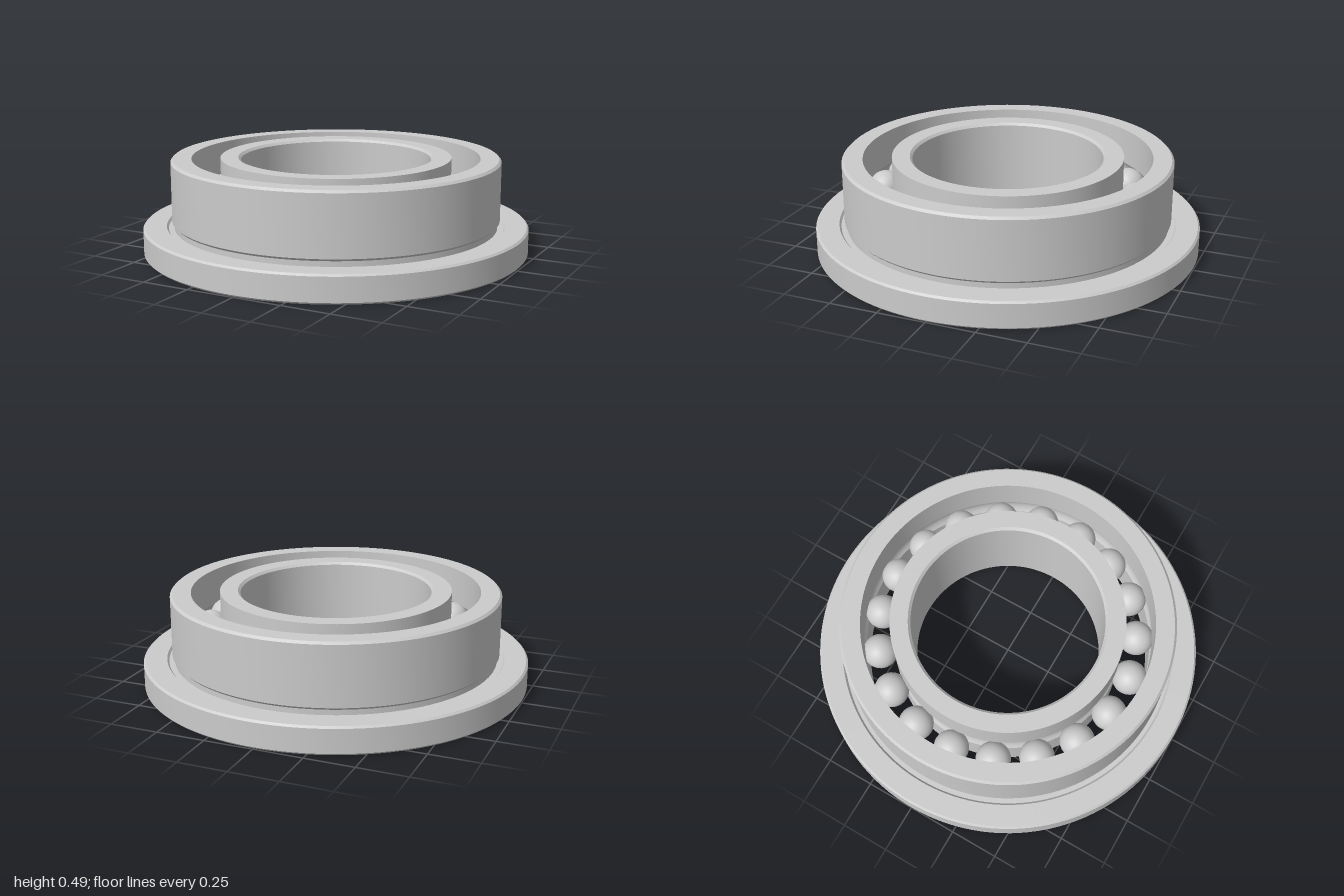
import * as THREE from 'three';
import { toCreasedNormals } from 'three/addons/utils/BufferGeometryUtils.js';

const HEIGHT = 0.487, MID = HEIGHT / 2;
const BALL_COUNT = 19, BALL_RADIUS = 0.09, PITCH_RADIUS = 0.67;
const GROOVE_RADIUS = 0.092;
const OUTER_LAND = 0.745, INNER_LAND = 0.597;

const material = new THREE.MeshStandardMaterial({ color: 0xcccccc });

// Arc of a ball groove cut into a land; side is +1 (outer ring) or -1 (inner ring),
// listed downwards for the outer ring and upwards for the inner ring
function groove(land, side) {
  const half = Math.acos(Math.abs(land - PITCH_RADIUS) / GROOVE_RADIUS);
  const points = [];
  for (let i = 0; i <= 8; i++) {
    const a = side * half * (1 - i / 4);
    points.push([PITCH_RADIUS + side * GROOVE_RADIUS * Math.cos(a), MID + GROOVE_RADIUS * Math.sin(a)]);
  }
  return points;
}

// Closed counter-clockwise section spun around the axis
function ring(name, section) {
  const points = [...section, section[0]].map(([r, y]) => new THREE.Vector2(r, y));
  const geometry = toCreasedNormals(new THREE.LatheGeometry(points, 128), 0.4);
  const mesh = new THREE.Mesh(geometry, material);
  mesh.name = name;
  return mesh;
}

export function createModel() {
  const model = new THREE.Group();
  model.name = 'flangedBallBearing';

  // Outer ring with flange, relief undercut and ball groove
  model.add(ring('flangedOuterRing', [
    [OUTER_LAND, 0], [0.99, 0], [1, 0.01],
    [1, 0.132], [0.99, 0.142], [0.88, 0.142],
    [0.87, 0.13], [0.84, 0.13], [0.84, 0.157], [0.852, 0.169],
    [0.852, HEIGHT - 0.012], [0.84, HEIGHT], [OUTER_LAND, HEIGHT],
    ...groove(OUTER_LAND, 1),
  ]));

  // Inner ring with chamfered bore and ball groove
  model.add(ring('innerRing', [
    [0.505, 0], [INNER_LAND, 0],
    ...groove(INNER_LAND, -1),
    [INNER_LAND, HEIGHT], [0.505, HEIGHT],
    [0.492, HEIGHT - 0.013], [0.492, 0.013],
  ]));

  // Balls, the first one at the back
  const balls = new THREE.Group();
  balls.name = 'balls';
  const ballGeometry = new THREE.SphereGeometry(BALL_RADIUS, 32, 20);
  for (let i = 0; i < BALL_COUNT; i++) {
    const a = (i / BALL_COUNT) * Math.PI * 2;
    const ball = new THREE.Mesh(ballGeometry, material);
    ball.name = 'ball';
    ball.position.set(PITCH_RADIUS * Math.sin(a), MID, -PITCH_RADIUS * Math.cos(a));
    balls.add(ball);
  }
  model.add(balls);
  return model;
}
